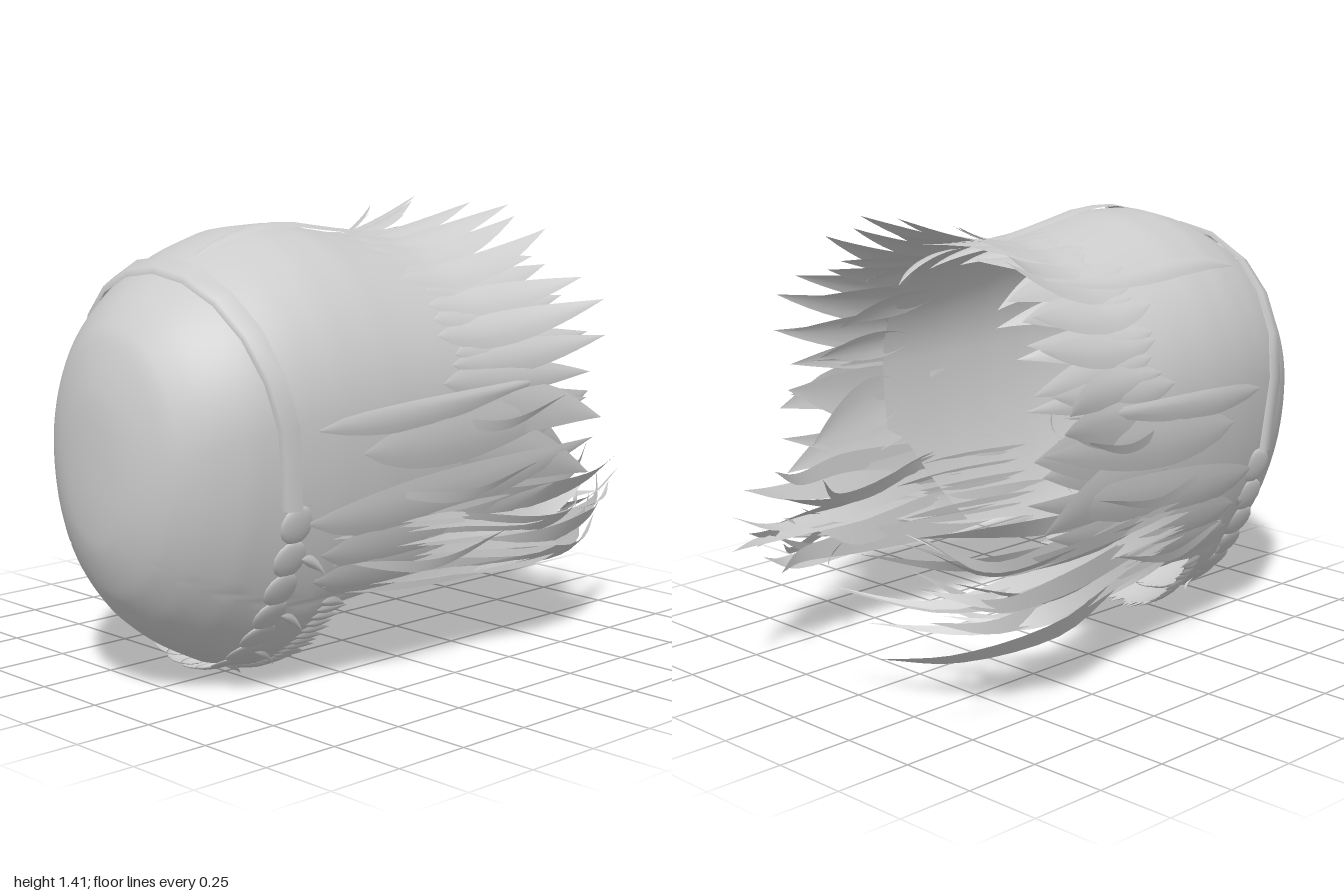
import * as THREE from 'three';

// Cap profile along z: [z, top y, bottom y, centre y, half width]
const PROFILE = [
  [1, 0.62, 0.62, 0.62, 0], [0.99, 0.88, 0.47, 0.65, 0.12], [0.97, 0.97, 0.4, 0.68, 0.19],
  [0.93, 1.08, 0.31, 0.72, 0.27], [0.85, 1.17, 0.21, 0.77, 0.35], [0.74, 1.25, 0.125, 0.81, 0.42],
  [0.6, 1.32, 0.05, 0.84, 0.465], [0.46, 1.36, 0.015, 0.85, 0.495], [0.3, 1.365, 0.015, 0.85, 0.515],
  [0.1, 1.33, 0.015, 0.85, 0.525], [-0.1, 1.3, 0.015, 0.85, 0.525], [-0.4, 1.31, 0.015, 0.85, 0.53],
];
const DEG = Math.PI / 180;

let seed = 7;
const rand = (a, b) => {
  seed = (seed * 16807) % 2147483647;
  return a + (b - a) * (seed / 2147483647);
};

// Point on the cap: angle t from the crown line (+ toward +x), depth z, raised by lift
function onCap(t, z, lift = 0) {
  let i = 0;
  while (i < PROFILE.length - 2 && z < PROFILE[i + 1][0]) i++;
  const a = PROFILE[i], b = PROFILE[i + 1];
  const depth = (d) => Math.sqrt(Math.max(0, 1 - d));
  const k = THREE.MathUtils.clamp((depth(z) - depth(a[0])) / (depth(b[0]) - depth(a[0])), 0, 1);
  const [, top, bottom, mid, w] = a.map((v, j) => v + (b[j] - v) * k);
  const c = Math.cos(t), s = Math.sin(t);
  return new THREE.Vector3(s * (w + lift), mid + c * ((c > 0 ? top - mid : mid - bottom) + lift), z);
}

// Surface from a rule f(u, v)
function surface(nu, nv, f) {
  const g = new THREE.PlaneGeometry(1, 1, nu, nv);
  const p = g.attributes.position, uv = g.attributes.uv;
  for (let i = 0; i < p.count; i++) {
    const q = f(uv.getX(i), uv.getY(i));
    p.setXYZ(i, q.x, q.y, q.z);
  }
  g.computeVertexNormals();
  return g;
}

const leaf = (v) => Math.sin(Math.PI * Math.pow(v, 0.75));

// Leaf-shaped lock lying on the cap, its tip flaring out (or in, if negative)
function capLock(t0, t1, z0, z1, half, flare, lift = 0) {
  return surface(4, 12, (u, v) => {
    const e = 2 * u - 1;
    const t = t0 + (t1 - t0) * v * v + e * half * leaf(v);
    return onCap(t, z0 + (z1 - z0) * v, lift + 0.008 * (1 - e * e) * leaf(v) + flare * Math.pow(v, 2.5));
  });
}

// Free lock along a curve, its blade upright with a twist
function freeLock(points, half, twist) {
  const curve = new THREE.CatmullRomCurve3(points);
  return surface(2, 18, (u, v) => {
    const a = twist * v, e = (2 * u - 1) * half * leaf(v);
    return curve.getPoint(v).add(new THREE.Vector3(Math.sin(a) * e, Math.cos(a) * e, 0));
  });
}

export function createModel() {
  const model = new THREE.Group();
  const material = new THREE.MeshStandardMaterial({ color: 0xcccccc, side: THREE.DoubleSide });
  const group = (name) => {
    const g = new THREE.Group();
    g.name = name;
    model.add(g);
    return g;
  };
  const add = (parent, name, geometry) => {
    const m = new THREE.Mesh(geometry, material);
    m.name = name;
    parent.add(m);
    return m;
  };

  // Main cap, open at the back and cut away under the nape
  const rim = (t) => {
    const d = Math.abs(t) / DEG;
    if (d < 108) return -0.17;
    if (d < 134) return THREE.MathUtils.mapLinear(d, 108, 134, -0.1, 0.1);
    return THREE.MathUtils.mapLinear(Math.min(d, 180), 134, 180, 0.36, 0.45);
  };
  add(model, 'hairCap', surface(120, 40, (u, v) => {
    const t = (u * 2 - 1) * Math.PI;
    return onCap(t, 1 - (1 - rim(t)) * v * v);
  }));

  // Leafy locks around the back opening: outer flared, middle straight, inner curling in
  const spikes = group('backSpikes');
  const layers = [
    { step: 12, shift: 0, half: 6.5, root: 0.06, tip: -0.42, flare: [0.09, 0.17] },
    { step: 12, shift: 6, half: 7, root: 0.06, tip: -0.4, flare: [0.02, 0.07] },
    { step: 18, shift: 3, half: 6, root: -0.02, tip: -0.36, flare: [-0.1, -0.03] },
  ];
  for (const { step, shift, half, root, tip, flare } of layers) {
    for (let a = -102 + shift; a <= 102; a += step) {
      const t = (a + rand(-2, 2)) * DEG;
      const end = tip - 0.13 * Math.abs(Math.sin(t)) + rand(-0.03, 0.03);
      const spread = rand(...flare) * (Math.abs(a) > 92 ? 0.5 : 1);
      add(spikes, 'spike', capLock(t, t + rand(-8, 8) * DEG, root + rand(-0.06, 0.04), end, half * DEG, spread));
    }
  }

  // Long flat locks swept back over the cap
  const swept = group('sweptLocks');
  add(swept, 'crownLock', capLock(9 * DEG, 0, 0.7, -0.35, 4 * DEG, 0.02, 0.005));
  add(swept, 'crownLock', capLock(-44 * DEG, -36 * DEG, 0.6, -0.38, 4 * DEG, 0.06, 0.005));
  for (const s of [1, -1]) {
    for (const [a, b, z0, z1, w, f] of [
      [92, 84, 0.56, -0.45, 3.5, 0.03], [98, 93, 0.4, -0.53, 6, 0.03], [112, 102, 0.57, -0.58, 6, 0.03],
      [120, 112, 0.5, -0.45, 7, 0.01], [127, 122, 0.5, -0.35, 7, 0.01],
    ]) add(swept, 'sideLock', capLock(s * a * DEG, s * b * DEG, z0, z1, w * DEG, f, 0.004));
  }

  // Long trailing locks below the ears, fanning inward at the tips
  for (const s of [1, -1]) {
    const tail = group(s > 0 ? 'leftTrailingHair' : 'rightTrailingHair');
    for (let i = 0; i < 18; i++) {
      const y0 = 0.3 + 0.24 * (i / 17), y1 = 0.29 + 0.25 * (i / 17) + rand(-0.05, 0.05);
      const t = s * Math.acos((y0 - 0.85) / 0.835);
      const tipZ = rand(-0.98, -0.62);
      const tipX = s > 0 ? rand(0.27, 0.5) : rand(0.06, 0.42);
      const midX = rand(0.4, 0.52);
      add(tail, 'lock', freeLock([
        onCap(t, rand(0.2, 0.5), 0.004),
        onCap(t, 0, 0.012),
        new THREE.Vector3(s * midX, (y0 + y1) / 2 - rand(0, 0.05), -0.38),
        new THREE.Vector3(s * (midX * 0.75 + tipX * 0.25), y1 - rand(0, 0.05), tipZ * 0.8),
        new THREE.Vector3(s * tipX, y1 + rand(-0.03, 0.06), tipZ),
      ], rand(0.025, 0.045), s * rand(-1.6, 1.6)));
    }
    // Thin loose wisps standing off the sides
    for (const [y, x, z0, z1] of [[0.8, 0.56, 0.1, -0.4], [0.6, 0.54, 0.3, -0.3], [0.4, 0.51, 0.4, -0.2]]) {
      add(tail, 'wisp', freeLock([
        new THREE.Vector3(s * (x - 0.05), y, z0),
        new THREE.Vector3(s * x, y - 0.04, (z0 + z1) / 2),
        new THREE.Vector3(s * (x + 0.03), y + 0.03, z1),
      ], 0.018, s * 0.6));
    }
  }

  // Short fringe along the nape edge
  const fringe = group('napeFringe');
  for (let i = 0; i <= 36; i++) {
    const t = (134 + (i / 36) * 92) * DEG;
    const edge = rim(2 * Math.PI - Math.max(t, 2 * Math.PI - t));
    add(fringe, 'tuft', capLock(t, t + rand(-2, 2) * DEG, edge + 0.07, edge - rand(0.02, 0.05), 1.7 * DEG, 0.006));
  }

  // Angular headband over the crown
  add(model, 'headband', surface(12, 3, (u, v) => {
    const t = (u * 2 - 1) * 108 * DEG;
    const k = Math.round(v * 3);
    const z = 0.735 - 0.085 * (1 - Math.cos(t)) + [0.028, 0.024, -0.024, -0.028][k];
    return onCap(t, z, [0.007, 0.025, 0.025, 0.007][k]);
  }));

  // Scalloped braid continuing the band around the lower head
  const braid = group('braid');
  const dome = new THREE.SphereGeometry(1, 14, 5, 0, Math.PI * 2, 0, Math.PI / 2);
  const count = 17;
  for (let i = 0; i < count; i++) {
    const t = (112 + (i / (count - 1)) * 136) * DEG;
    const p = onCap(t, 0.595, 0.002), q = onCap(t + 0.01, 0.595, 0.002);
    const m = add(braid, 'braidLink', dome);
    m.position.copy(p);
    m.rotation.z = Math.atan2(q.y - p.y, q.x - p.x);
    m.scale.set(0.06, 0.014, 0.065);
    // Small loose ends behind the braid
    if (i % 2) add(braid, 'braidEnd', capLock(t, t + 3 * DEG, 0.56, 0.48, 1.5 * DEG, 0.02, 0.006));
  }

  return model;
}
